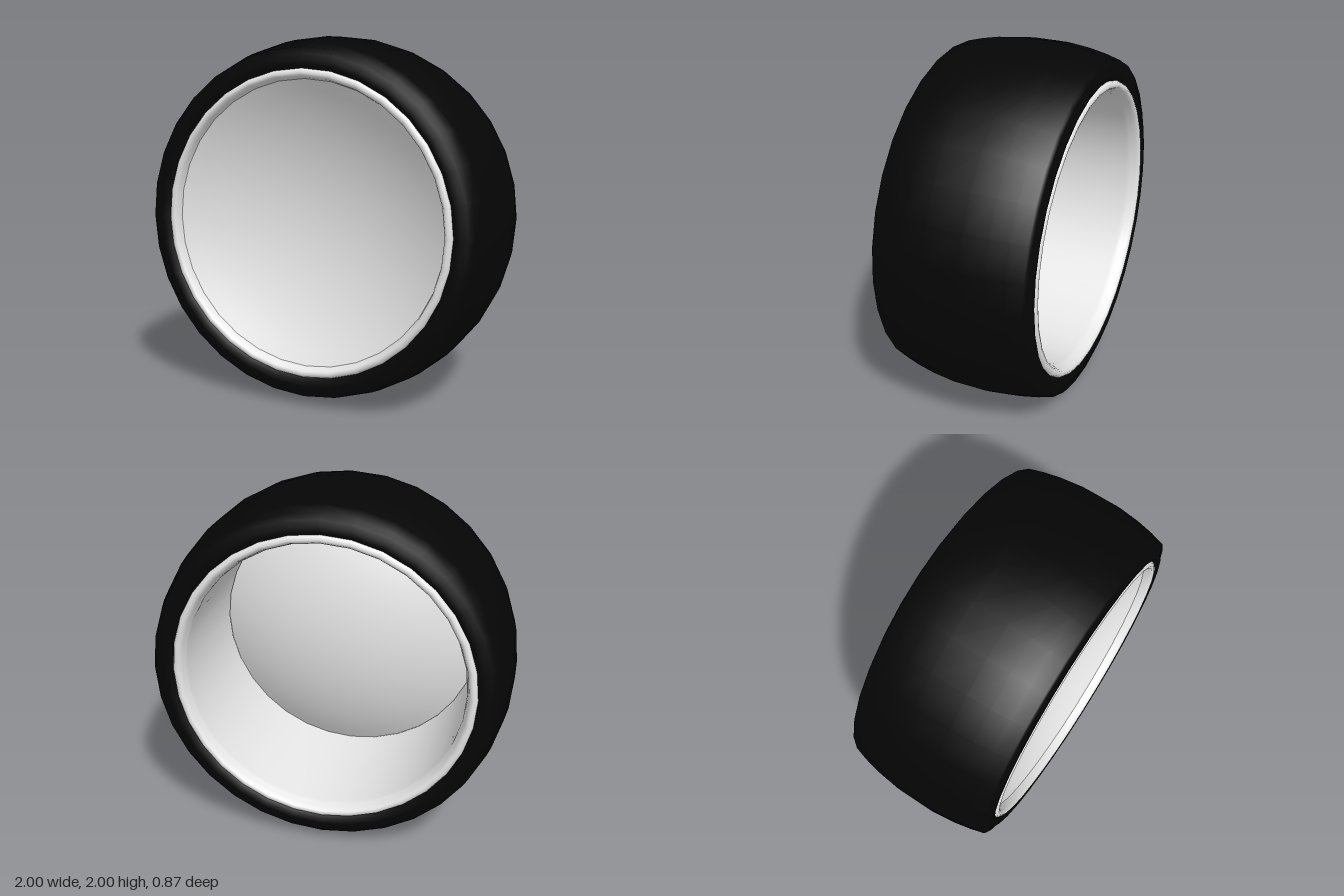
import * as THREE from 'three';

const SEGMENTS = 32;

// Revolves [radius, z] points around the wheel axle (z)
function revolve(name, points, material) {
  const geometry = new THREE.LatheGeometry(points.map(([r, z]) => new THREE.Vector2(r, z)), SEGMENTS);
  geometry.rotateX(Math.PI / 2);
  const mesh = new THREE.Mesh(geometry, material);
  mesh.name = name;
  return mesh;
}

// Completes a front half profile (ending nearest the middle) with its mirror image
const mirrored = (half) => [...half, ...half.slice().reverse().map(([r, z]) => [r, -z])];

export function createModel() {
  const rubber = new THREE.MeshStandardMaterial({ color: 0x050505 });
  rubber.name = 'black rubber';
  const metal = new THREE.MeshStandardMaterial({ color: 0xebebeb, side: THREE.DoubleSide });
  metal.name = 'pale metal';

  const wheel = new THREE.Group();
  wheel.name = 'wheel';

  // Tyre: sidewall, bevelled shoulder and crowned tread
  const tyreHalf = [
    [0.8, 0.4], [0.83, 0.415], [0.85, 0.435], [0.88, 0.435], [0.91, 0.42],
    [0.942, 0.412], [0.965, 0.33], [0.985, 0.23], [1, 0.1],
  ];
  wheel.add(revolve('tyre', mirrored(tyreHalf).reverse(), rubber));

  // Rim: rounded lip, short flare and straight barrel, running front to back
  const rimHalf = [
    [0.828, 0.4], [0.832, 0.417], [0.825, 0.43], [0.81, 0.437], [0.796, 0.432],
    [0.787, 0.418], [0.782, 0.4], [0.778, 0.385], [0.77, 0.36],
  ];
  wheel.add(revolve('rim', mirrored(rimHalf), metal));

  // Dished disc, hollow towards the front
  const radius = 0.778, depth = 0.22, rimZ = 0.385;
  const sphere = (radius * radius + depth * depth) / (2 * depth);
  const dish = [];
  for (let i = 0; i <= 12; i++) {
    const r = (radius * i) / 12;
    dish.push([r, rimZ - depth + sphere - Math.sqrt(sphere * sphere - r * r)]);
  }
  wheel.add(revolve('dish', dish, metal));

  wheel.position.y = 1;
  const model = new THREE.Group();
  model.add(wheel);
  return model;
}
